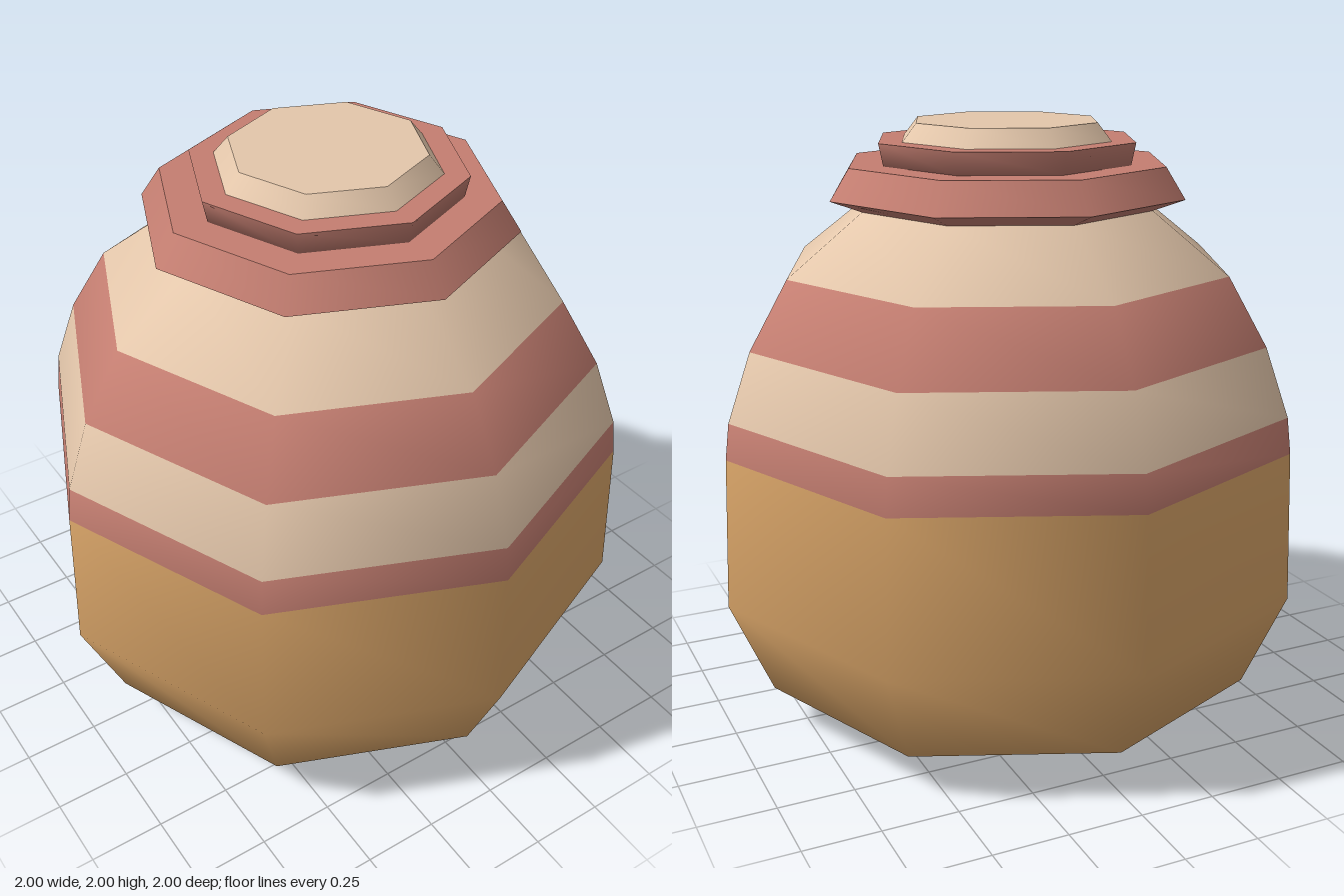
import * as THREE from 'three';

const SIDES = 8;
const mat = (name, color) => new THREE.MeshStandardMaterial({ name, color });

// Eight-sided turned surface through [radius, height] points, smooth along the profile
const turn = (points) =>
  new THREE.LatheGeometry(points.map(([r, y]) => new THREE.Vector2(r, y)), SIDES);

export function createModel() {
  const gold = mat('gold', 0xdba669);
  const cream = mat('cream', 0xe4c7ab);
  const rose = mat('rose', 0xc47e71);

  const model = new THREE.Group();
  model.name = 'jar';
  const add = (name, geometry, material, parent = model) => {
    const mesh = new THREE.Mesh(geometry, material);
    mesh.name = name;
    parent.add(mesh);
  };

  // Body: one smooth surface split into coloured bands that share its normals
  const profile = [
    [0, 0], [0.5, 0], [0.86, 0.14], [1, 0.465], [0.98, 0.97],
    [0.965, 1.09], [0.885, 1.315], [0.755, 1.535], [0.5, 1.73],
  ];
  const body = turn(profile);
  const bands = [
    ['lowerBody', 0, 4, gold],
    ['lowerStripe', 4, 5, rose],
    ['middleBand', 5, 6, cream],
    ['upperStripe', 6, 7, rose],
    ['shoulder', 7, 8, cream],
  ];
  const n = profile.length;
  for (const [name, from, to, material] of bands) {
    const index = [];
    for (let i = 0; i < SIDES; i++) {
      for (let j = from; j < to; j++) {
        const a = i * n + j, b = a + n;
        index.push(a, b, a + 1, b + 1, a + 1, b);
      }
    }
    const band = body.clone();
    band.setIndex(index);
    add(name, band, material);
  }

  // Each run of points is smooth; edges between runs stay sharp
  const creased = (name, material, runs) => {
    const part = new THREE.Group();
    part.name = name;
    runs.forEach((run, i) => add(`${name}Face${i + 1}`, turn(run), material, part));
    model.add(part);
  };

  // Flared lip around the neck
  creased('lip', rose, [
    [[0.5, 1.73], [0.605, 1.77]],
    [[0.605, 1.77], [0.54, 1.87]],
    [[0.54, 1.87], [0.3, 1.87]],
  ]);

  // Smaller ring above the lip
  creased('ring', rose, [
    [[0.3, 1.87], [0.425, 1.87], [0.44, 1.942]],
    [[0.44, 1.942], [0.3, 1.942]],
  ]);

  // Stopper
  creased('stopper', cream, [
    [[0.36, 1.942], [0.312, 2]],
    [[0.312, 2], [0, 2]],
  ]);

  return model;
}
